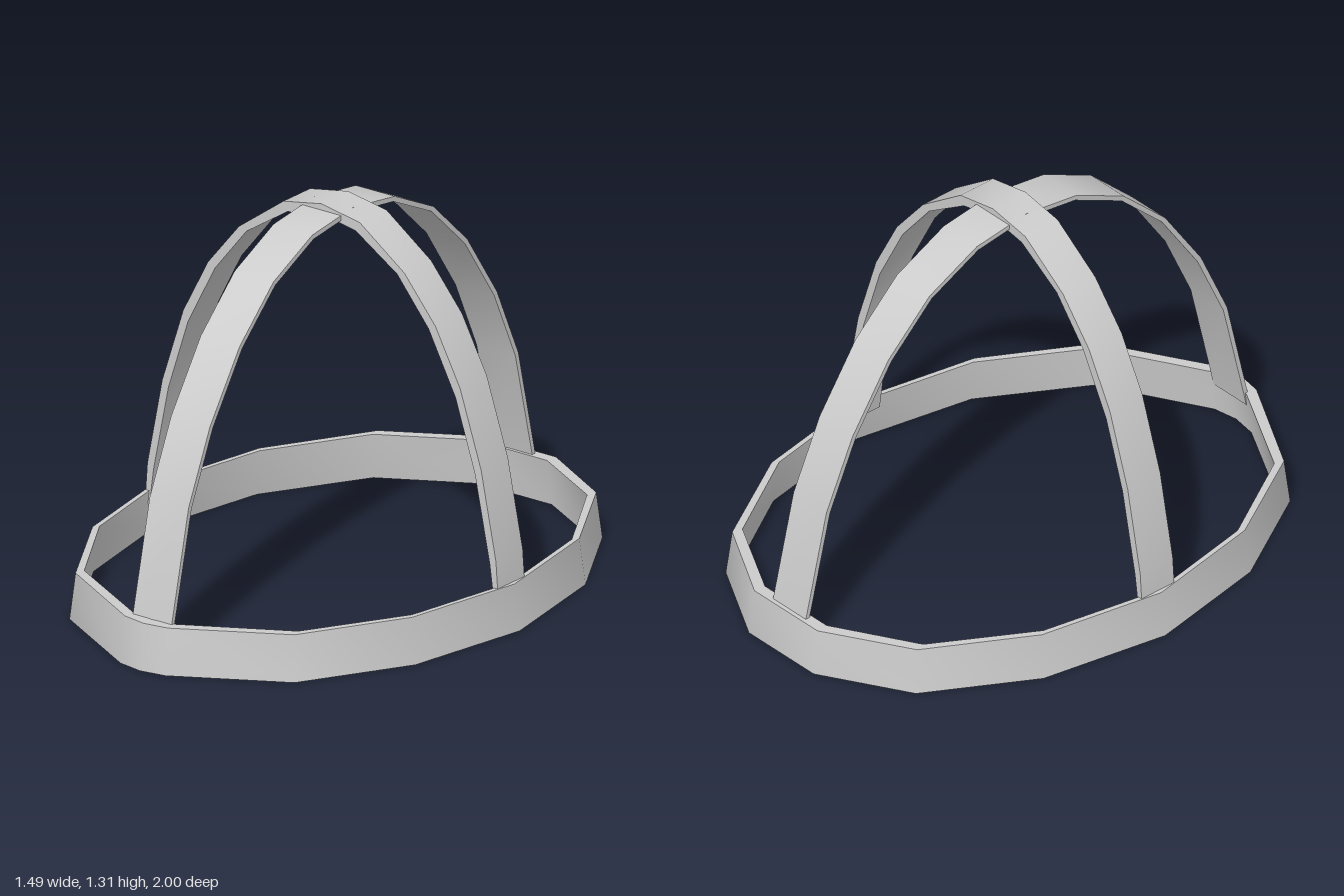
import * as THREE from 'three';
import { toCreasedNormals } from 'three/addons/utils/BufferGeometryUtils.js';

const CREASE = 0.8;
const material = new THREE.MeshStandardMaterial({ color: 0xcccccc });

function addMesh(group, name, geometry) {
  const mesh = new THREE.Mesh(toCreasedNormals(geometry, CREASE), material);
  mesh.name = name;
  group.add(mesh);
  return mesh;
}

// Mirror a half outline across the first axis, skipping the point on the axis
const mirrored = (half) => [
  ...half.slice().reverse().filter(([a]) => a > 0).map(([a, b]) => [-a, b]),
  ...half,
];

// Flat strap bent along an arch: outer and inner outlines extruded by its width
function strap(outer, inner, width) {
  const outline = [...outer, ...inner.slice().reverse()];
  const shape = new THREE.Shape(outline.map(([a, b]) => new THREE.Vector2(a, b)));
  const geometry = new THREE.ExtrudeGeometry(shape, { depth: width, bevelEnabled: false });
  return geometry.translate(0, 0, -width / 2);
}

// Closed loop of four-cornered cross-sections
function rim(plan, height) {
  const positions = [];
  const index = [];
  for (const [x, z] of plan) {
    positions.push(
      x, 0, z,                               // outer bottom
      x * 0.973, height, z * 0.98,           // outer top
      x * 0.973 * 0.977, height, z * 0.98 * 0.957, // inner top
      x * 0.977, 0, z * 0.957,               // inner bottom
    );
  }
  const n = plan.length;
  for (let i = 0; i < n; i++) {
    for (let k = 0; k < 4; k++) {
      const a = i * 4 + k;
      const b = i * 4 + ((k + 1) % 4);
      const c = ((i + 1) % n) * 4 + k;
      const d = ((i + 1) % n) * 4 + ((k + 1) % 4);
      index.push(a, c, b, b, c, d);
    }
  }
  const geometry = new THREE.BufferGeometry();
  geometry.setAttribute('position', new THREE.Float32BufferAttribute(positions, 3));
  geometry.setIndex(index);
  return geometry;
}

export function createModel() {
  const model = new THREE.Group();
  model.name = 'crownFrame';

  // Base rim: egg-shaped plan, running from the front down +x to the back
  const halfPlan = [
    [0, 1], [0.09, 0.985], [0.455, 0.78], [0.665, 0.42], [0.747, -0.02],
    [0.665, -0.47], [0.455, -0.83], [0.155, -1],
  ];
  const otherHalf = halfPlan.slice(1).reverse().map(([x, z]) => [-x, z]);
  addMesh(model, 'baseRim', rim([...halfPlan, ...otherHalf], 0.157));

  // Side-to-side arch
  const sideOuter = mirrored([
    [0, 1.31], [0.155, 1.282], [0.335, 1.152], [0.46, 1.0], [0.56, 0.81],
    [0.645, 0.55], [0.705, 0.25], [0.715, 0.11],
  ]);
  const sideInner = mirrored([
    [0, 1.275], [0.138, 1.25], [0.305, 1.142], [0.432, 0.985], [0.541, 0.775],
    [0.62, 0.53], [0.68, 0.235], [0.697, 0.11],
  ]);
  addMesh(model, 'sideArch', strap(sideOuter, sideInner, 0.14)).position.z = -0.02;

  // Front-to-back arch, drawn around its own centre line
  const longOuter = mirrored([
    [0, 1.297], [0.215, 1.268], [0.418, 1.17], [0.595, 1.003], [0.75, 0.775],
    [0.862, 0.53], [0.95, 0.157], [0.96, 0.11],
  ]);
  const longInner = mirrored([
    [0, 1.28], [0.208, 1.252], [0.408, 1.156], [0.582, 0.992], [0.735, 0.766],
    [0.846, 0.524], [0.934, 0.157], [0.944, 0.11],
  ]);
  const longArch = addMesh(model, 'frontToBackArch',
    strap(longOuter, longInner, 0.157).rotateY(-Math.PI / 2));
  longArch.position.z = -0.015;

  return model;
}
